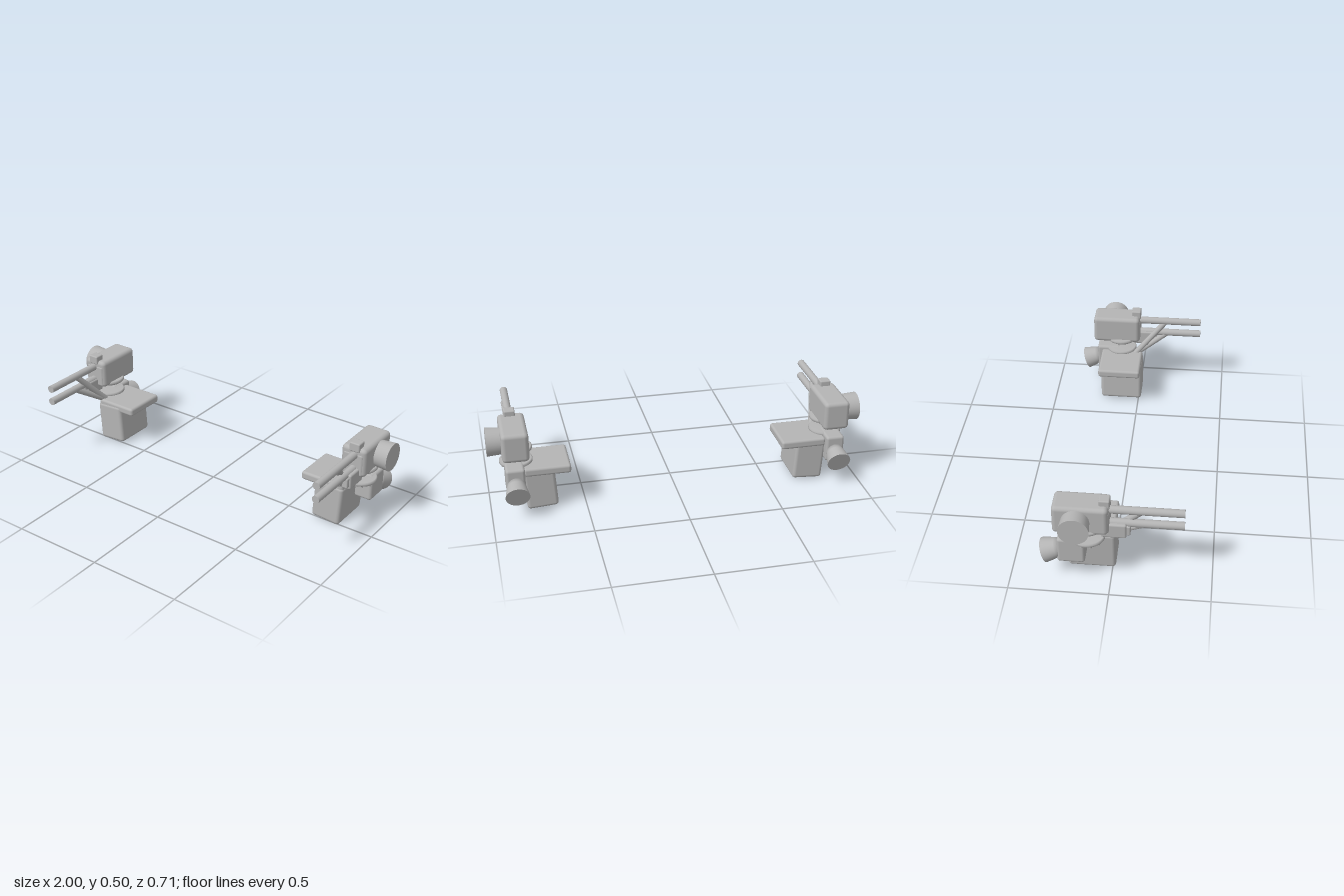
import * as THREE from 'three';
import { RoundedBoxGeometry } from 'three/addons/geometries/RoundedBoxGeometry.js';

const steel = new THREE.MeshStandardMaterial({ color: 0xb4b4b4 });
steel.name = 'light grey';

function addMesh(parent, name, geometry, x, y, z) {
  const mesh = new THREE.Mesh(geometry, steel);
  mesh.name = name;
  mesh.position.set(x, y, z);
  parent.add(mesh);
  return mesh;
}

const box = (parent, name, size, pos, r = 0.012) =>
  addMesh(parent, name, new RoundedBoxGeometry(...size, 2, r), ...pos);

// Round bar from a to b
function bar(parent, name, a, b, rA, rB = rA, sides = 24) {
  const from = new THREE.Vector3(...a), to = new THREE.Vector3(...b);
  const dir = to.clone().sub(from);
  const geometry = new THREE.CylinderGeometry(rB, rA, dir.length(), sides);
  const mid = from.add(to).multiplyScalar(0.5);
  const mesh = addMesh(parent, name, geometry, mid.x, mid.y, mid.z);
  mesh.quaternion.setFromUnitVectors(new THREE.Vector3(0, 1, 0), dir.normalize());
  return mesh;
}

// One turret; s = 1 for the model's left, -1 for its right
function createTurret(s) {
  const g = new THREE.Group();
  g.name = s > 0 ? 'leftTurret' : 'rightTurret';
  const gx = 0.863 * s;

  // Gun housing, sight and side drum
  box(g, 'gunHousing', [0.14, 0.16, 0.272], [0.857 * s, 0.395, -0.144], 0.022);
  box(g, 'housingFront', [0.115, 0.125, 0.06], [0.857 * s, 0.383, -0.035], 0.012);
  box(g, 'sight', [0.058, 0.05, 0.054], [gx, 0.479, -0.03], 0.007);
  bar(g, 'sideDrum', [0.9 * s, 0.395, -0.165], [s, 0.395, -0.165], 0.068, 0.075, 32);

  // Twin stacked barrels
  for (const [name, y] of [['upperBarrel', 0.435], ['lowerBarrel', 0.358]])
    bar(g, name, [gx, y, -0.03], [gx, y, 0.355], 0.0205);

  // Barrel clamp under the lower barrel
  box(g, 'barrelClamp', [0.062, 0.083, 0.125], [0.868 * s, 0.324, 0.015], 0.01);
  box(g, 'clampNose', [0.045, 0.054, 0.04], [0.868 * s, 0.324, 0.076], 0.006);

  // Diagonal struts to the platform
  bar(g, 'upperStrut', [0.863 * s, 0.43, 0.145], [0.8 * s, 0.225, -0.04], 0.017, 0.017, 12);
  bar(g, 'lowerStrut', [0.863 * s, 0.35, 0.15], [0.8 * s, 0.225, -0.045], 0.017, 0.017, 12);

  // Turning rings with bolts
  const ringProfile = [[0, -0.011], [0.082, -0.011], [0.088, -0.005], [0.088, 0.005], [0.082, 0.011], [0, 0.011]]
    .map(([x, y]) => new THREE.Vector2(x, y));
  for (const [name, y] of [['lowerRing', 0.251], ['upperRing', 0.324]])
    addMesh(g, name, new THREE.LatheGeometry(ringProfile, 32), 0.85 * s, y, -0.117);
  for (let i = 0; i < 10; i++) {
    const a = (i + 0.5) * Math.PI / 5;
    addMesh(g, 'ringBolt', new THREE.CylinderGeometry(0.008, 0.008, 0.012, 8),
      0.85 * s + Math.cos(a) * 0.072, 0.236, -0.117 + Math.sin(a) * 0.072);
  }

  // Inner platform and leaning base block
  box(g, 'platform', [0.247, 0.047, 0.245], [0.6965 * s, 0.224, -0.111], 0.014);
  const base = box(g, 'baseBlock', [0.165, 0.226, 0.24], [0.735 * s, 0.117, -0.104], 0.018);
  base.rotation.z = -0.065 * s;

  // Rear motor box and flared nozzle
  box(g, 'motorBox', [0.1, 0.146, 0.137], [0.865 * s, 0.191, -0.1935], 0.015);
  const nozzleProfile = [[0, -0.02], [0.044, -0.02], [0.05, 0.01], [0.058, 0.045], [0.0635, 0.076]]
    .map(([x, y]) => new THREE.Vector2(x, y));
  const nozzle = new THREE.Group();
  nozzle.name = 'nozzle';
  nozzle.position.set(0.865 * s, 0.172, -0.26);
  nozzle.rotation.x = -Math.PI / 2 - 0.347;
  addMesh(nozzle, 'nozzleBell', new THREE.LatheGeometry(nozzleProfile, 32), 0, 0, 0);
  addMesh(nozzle, 'nozzleEnd', new THREE.CircleGeometry(0.0635, 32), 0, 0.076, 0).rotation.x = -Math.PI / 2;
  g.add(nozzle);
  return g;
}

export function createModel() {
  const model = new THREE.Group();
  model.name = 'turretPair';
  for (const s of [1, -1]) model.add(createTurret(s));
  return model;
}
